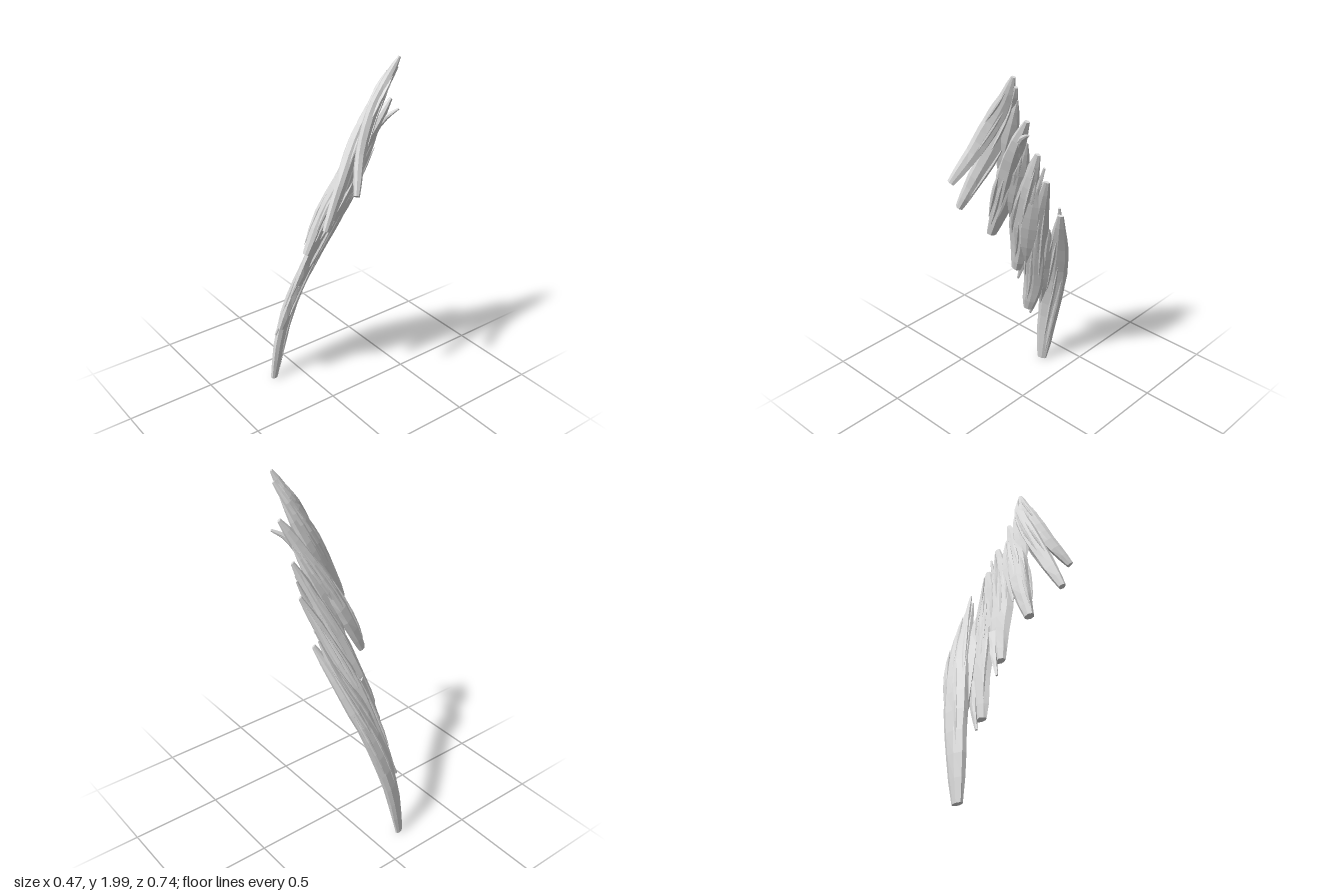
import * as THREE from 'three';

const grey = new THREE.MeshStandardMaterial({ color: 0xdadada, flatShading: true, side: THREE.DoubleSide });
grey.name = 'pale grey';

// small seeded random, -1 to 1
let seed = 7;
const rnd = () => {
  seed = (seed * 16807) % 2147483647;
  return (seed / 2147483647) * 2 - 1;
};

const V = (p) => new THREE.Vector3(...p);
const SHEET = V([-0.45, 0.35, -0.8]).normalize(); // facing of the thin curved sheet
const SIDES = 8;

// width along a blade: blunt at the lower end, narrower at the upper end
const STOPS = [0.42, 0.65, 0.8, 0.92, 1, 1, 0.97, 0.86, 0.68, 0.48, 0.22];
function taper(s) {
  const f = s * (STOPS.length - 1), i = Math.min(Math.floor(f), STOPS.length - 2);
  return THREE.MathUtils.lerp(STOPS[i], STOPS[i + 1], f - i);
}
const spindle = (s) => 0.08 + 0.92 * Math.sin(Math.PI * s);

// frame of a curve at s: centre, sideways and outward directions
function frame(curve, s) {
  const t = curve.getTangent(s);
  const side = new THREE.Vector3().crossVectors(SHEET, t).normalize();
  return { c: curve.getPoint(s), side, out: new THREE.Vector3().crossVectors(t, side).normalize() };
}

// a flattened, splintered blade lofted along a curve
function blade(curve, width, thick, rings, rough, sizeAt) {
  const pos = [], idx = [];
  // each long edge keeps its own offset so ridges run with the grain
  const grain = Array.from({ length: SIDES }, () => 1 + rough * rnd());
  for (let i = 0; i <= rings; i++) {
    const s = i / rings, k = sizeAt(s), { c, side, out } = frame(curve, s);
    for (let j = 0; j < SIDES; j++) {
      const a = (j / SIDES) * Math.PI * 2, r = grain[j] * (1 + rough * 0.4 * rnd());
      const p = c.clone()
        .addScaledVector(side, Math.cos(a) * width * k * r)
        .addScaledVector(out, Math.sin(a) * thick * (0.35 + 0.65 * k) * r * Math.min(1, k * 2));
      pos.push(p.x, p.y, p.z);
    }
  }
  for (let i = 0; i < rings; i++) {
    for (let j = 0; j < SIDES; j++) {
      const a = i * SIDES + j, b = i * SIDES + ((j + 1) % SIDES);
      idx.push(a, b, a + SIDES, b, b + SIDES, a + SIDES);
    }
  }
  // close both ends
  const top = rings * SIDES;
  for (let j = 1; j < SIDES - 1; j++) idx.push(0, j + 1, j, top, top + j, top + j + 1);
  const g = new THREE.BufferGeometry();
  g.setAttribute('position', new THREE.Float32BufferAttribute(pos, 3));
  g.setIndex(idx);
  g.computeVertexNormals();
  return g;
}

// blades from lower tip to upper tip, with half width and half thickness
const BLADES = [
  { name: 'topBlade', w: 0.045, t: 0.029, shards: 4,
    pts: [[-0.13, 1.42, 0.355], [-0.05, 1.575, 0.275], [0.04, 1.74, 0.235], [0.12, 1.87, 0.235], [0.185, 1.99, 0.255]] },
  { name: 'secondBlade', w: 0.052, t: 0.03, shards: 5,
    pts: [[-0.215, 1.215, 0.23], [-0.11, 1.41, 0.205], [0, 1.61, 0.185], [0.1, 1.79, 0.195], [0.185, 1.94, 0.24]] },
  { name: 'thirdBlade', w: 0.068, t: 0.035, shards: 8,
    pts: [[-0.19, 1.0, 0.035], [-0.1, 1.2, 0.05], [0, 1.41, 0.1], [0.1, 1.6, 0.15], [0.2, 1.77, 0.185]] },
  { name: 'fourthBlade', w: 0.062, t: 0.032, shards: 8,
    pts: [[-0.148, 0.74, -0.11], [-0.075, 0.93, -0.07], [0.005, 1.16, 0], [0.1, 1.38, 0.06], [0.19, 1.58, 0.1]] },
  { name: 'fifthBlade', w: 0.064, t: 0.032, shards: 8,
    pts: [[-0.178, 0.41, -0.235], [-0.1, 0.63, -0.2], [-0.018, 0.91, -0.12], [0.085, 1.18, -0.025], [0.193, 1.42, 0.04]] },
  { name: 'bottomBlade', w: 0.07, t: 0.03, shards: 8,
    pts: [[-0.165, 0.01, -0.345], [-0.105, 0.35, -0.325], [-0.015, 0.66, -0.27], [0.09, 0.94, -0.175], [0.195, 1.2, -0.065]] },
];

// webs joining neighbouring blades: path, half width
const WEBS = [
  { w: 0.034, pts: [[0.02, 1.69, 0.205], [0.1, 1.83, 0.215], [0.175, 1.95, 0.245]] },
  { w: 0.05, pts: [[-0.04, 1.42, 0.125], [0.06, 1.63, 0.165], [0.17, 1.87, 0.215]] },
  { w: 0.05, pts: [[-0.07, 1.13, 0.02], [0.04, 1.38, 0.08], [0.16, 1.64, 0.14]] },
  { w: 0.05, pts: [[-0.08, 0.8, -0.11], [0.03, 1.1, -0.02], [0.15, 1.42, 0.06]] },
  { w: 0.045, pts: [[-0.125, 0.43, -0.285], [-0.02, 0.77, -0.2], [0.1, 1.08, -0.09]] },
];

// loose pointed tips at the ragged edges
const TIPS = [
  [[0.08, 1.54, 0.14], [0.16, 1.67, 0.18], [0.23, 1.72, 0.21]],
  [[-0.07, 0.92, -0.1], [-0.125, 0.76, -0.13], [-0.172, 0.65, -0.145]],
  [[-0.09, 0.62, -0.22], [-0.145, 0.47, -0.255], [-0.195, 0.35, -0.27]],
  [[0.05, 1.22, 0], [0.13, 1.35, 0.04], [0.195, 1.5, 0.06]],
  [[0.05, 0.88, -0.2], [0.13, 1.08, -0.13], [0.175, 1.23, -0.08]],
];

export function createModel() {
  const group = new THREE.Group();
  group.name = 'splinteredWing';
  const add = (parent, geometry, name) => {
    const mesh = new THREE.Mesh(geometry, grey);
    mesh.name = name;
    parent.add(mesh);
  };

  for (const { name, w, t, shards, pts } of BLADES) {
    const part = new THREE.Group();
    part.name = name;
    const curve = new THREE.CatmullRomCurve3(pts.map(V));
    add(part, blade(curve, w, t, 12, 0.14, taper), name + 'Core');

    // thin shards lying along the blade on both faces
    for (let i = 0; i < shards; i++) {
      const across = ((i + 0.5) / shards) * 2 - 1;
      const mid = 0.5 + 0.2 * rnd(), half = 0.22 + 0.06 * rnd();
      const face = i % 2 ? 1 : -1;
      const path = [-1, -0.33, 0.33, 1].map((u) => {
        const s = mid + u * half, { c, side, out } = frame(curve, s);
        return c.addScaledVector(side, (across * 0.85 + u * 0.12) * w * taper(s))
          .addScaledVector(out, face * t * 0.75 * Math.sqrt(1 - across * across * 0.8));
      });
      add(part, blade(new THREE.CatmullRomCurve3(path), w * 0.2, t * 0.4, 5, 0.2, spindle), name + 'Shard');
    }
    group.add(part);
  }

  for (const { w, pts } of WEBS) {
    add(group, blade(new THREE.CatmullRomCurve3(pts.map(V)), w, 0.024, 8, 0.15, spindle), 'joiningWeb');
  }
  for (const path of TIPS) {
    add(group, blade(new THREE.CatmullRomCurve3(path.map(V)), 0.028, 0.018, 5, 0.2,
      (s) => 1 - 0.75 * s), 'edgeSplinter');
  }
  return group;
}
